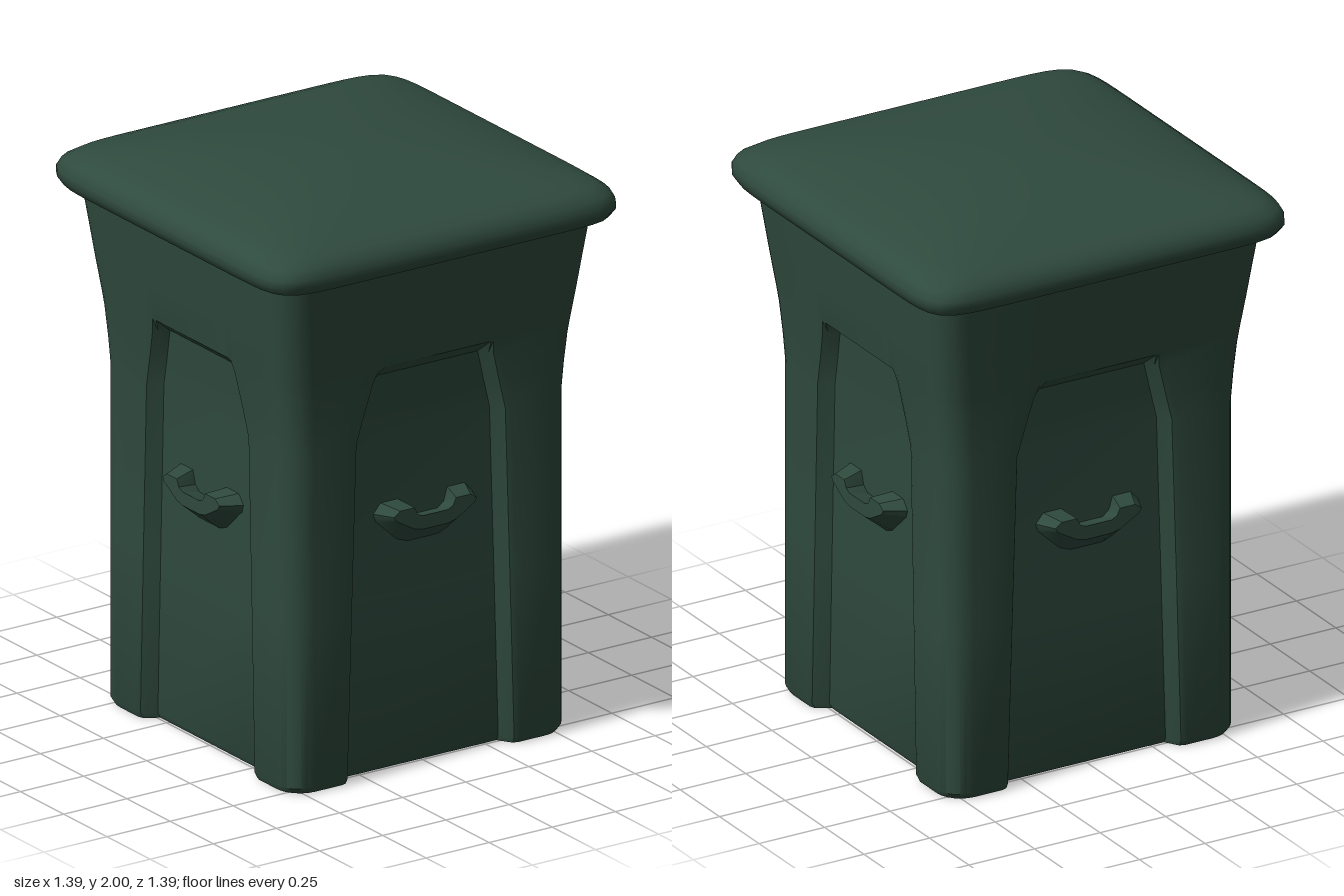
import * as THREE from 'three';
import { toCreasedNormals } from 'three/addons/utils/BufferGeometryUtils.js';

// Skin a stack of closed rings of [x, y, z] points, capping both ends.
function loft(rings, crease) {
  const n = rings[0].length;
  const positions = rings.flat(2);
  const index = [];
  for (let i = 0; i < rings.length - 1; i++) {
    for (let j = 0; j < n; j++) {
      const k = (j + 1) % n;
      const a = i * n + j, b = i * n + k, c = b + n, d = a + n;
      index.push(a, b, c, a, c, d);
    }
  }
  const last = (rings.length - 1) * n;
  const bottom = rings.length * n, top = bottom + 1;
  positions.push(0, rings[0][0][1], 0, 0, rings.at(-1)[0][1], 0);
  for (let j = 0; j < n; j++) {
    const k = (j + 1) % n;
    index.push(bottom, k, j, top, last + j, last + k);
  }
  const geo = new THREE.BufferGeometry();
  geo.setAttribute('position', new THREE.Float32BufferAttribute(positions, 3));
  geo.setIndex(index);
  return toCreasedNormals(geo, crease);
}

// One body section: half width h, recess half width w, recess depth d.
function bodyRing(y, h, w, d) {
  const r = 0.09;
  const lip = [[w, h - d], [w + 0.02, h - d * 0.4], [w + 0.03, h - d * 0.12], [w + 0.05, h]];
  const side = [[-w, h - d], ...lip];
  for (let i = 0; i <= 6; i++) {
    const t = (i / 6) * Math.PI / 2;
    side.push([h - r + r * Math.sin(t), h - r + r * Math.cos(t)]);
  }
  for (let i = 3; i > 0; i--) side.push([lip[i][1], lip[i][0]]);
  const ring = [];
  for (let q = 0; q < 4; q++) {
    for (const p of side) {
      let [x, z] = p;
      for (let k = 0; k < q; k++) [x, z] = [z, -x];
      ring.push([x, y, z]);
    }
  }
  return ring;
}

// One lid section: a softly bowed square of half width s and squareness n.
function lidRing(s, y, n) {
  const ring = [];
  for (let i = 0; i < 128; i++) {
    const t = (i / 128) * Math.PI * 2;
    const x = Math.sin(t), z = Math.cos(t);
    const r = s / Math.pow(Math.abs(x) ** n + Math.abs(z) ** n, 1 / n);
    ring.push([x * r, y, z * r]);
  }
  return ring;
}

// Scooped pull with a notch in its upper edge, tapering outwards.
function handleGeometry() {
  const outline = [
    [-0.2, 0.9], [-0.19, 0.87], [-0.1, 0.785], [-0.06, 0.77], [0.06, 0.77], [0.1, 0.785],
    [0.19, 0.87], [0.2, 0.9], [0.17, 0.935], [0.1, 0.935], [0.085, 0.885], [0.06, 0.865],
    [-0.06, 0.865], [-0.085, 0.885], [-0.1, 0.935], [-0.17, 0.935],
  ];
  const shape = new THREE.Shape(outline.map(([x, y]) => new THREE.Vector2(x, y)));
  const geo = new THREE.ExtrudeGeometry(shape, { depth: 0.085, bevelEnabled: false });
  const pos = geo.attributes.position;
  for (let i = 0; i < pos.count; i++) {
    if (pos.getZ(i) < 0.01) continue;
    pos.setX(i, pos.getX(i) * 0.82);
    pos.setY(i, 0.91 + (pos.getY(i) - 0.91) * 0.5);
  }
  geo.translate(0, 0, 0.49);
  return toCreasedNormals(geo, 0.5);
}

export function createModel() {
  const group = new THREE.Group();
  const green = new THREE.MeshStandardMaterial({ color: 0x2f4a3e });
  green.name = 'dark green';
  const add = (name, geo) => {
    const mesh = new THREE.Mesh(geo, green);
    mesh.name = name;
    group.add(mesh);
    return mesh;
  };

  // Flared body with a tapering recess on every side: y, half width, recess width, depth
  const body = [
    [0, 0.545, 0.3, 0.055], [0.02, 0.555, 0.3, 0.055], [0.6, 0.555, 0.283, 0.055],
    [1.18, 0.555, 0.265, 0.055], [1.28, 0.561, 0.238, 0.055], [1.39, 0.57, 0.208, 0.055],
    [1.44, 0.576, 0.2, 0], [1.56, 0.592, 0.2, 0], [1.68, 0.607, 0.2, 0], [1.82, 0.625, 0.2, 0],
  ];
  add('body', loft(body.map((s) => bodyRing(...s)), 0.6));

  // Domed lid with a rounded overhanging rim: half width, y, squareness
  const lid = [
    [0.6, 1.795, 12], [0.65, 1.793, 12], [0.68, 1.806, 12], [0.697, 1.835, 12],
    [0.697, 1.86, 12], [0.683, 1.89, 12], [0.65, 1.914, 11], [0.6, 1.931, 9],
    [0.5, 1.955, 7], [0.4, 1.972, 5], [0.3, 1.985, 4], [0.2, 1.993, 3], [0.08, 2, 2],
  ];
  add('lid', loft(lid.map((s) => lidRing(...s)), 0.9));

  // A handle on each side
  const pull = handleGeometry();
  ['front', 'left', 'back', 'right'].forEach((side, i) => {
    add(side + 'Handle', pull).rotation.y = (i * Math.PI) / 2;
  });
  return group;
}
